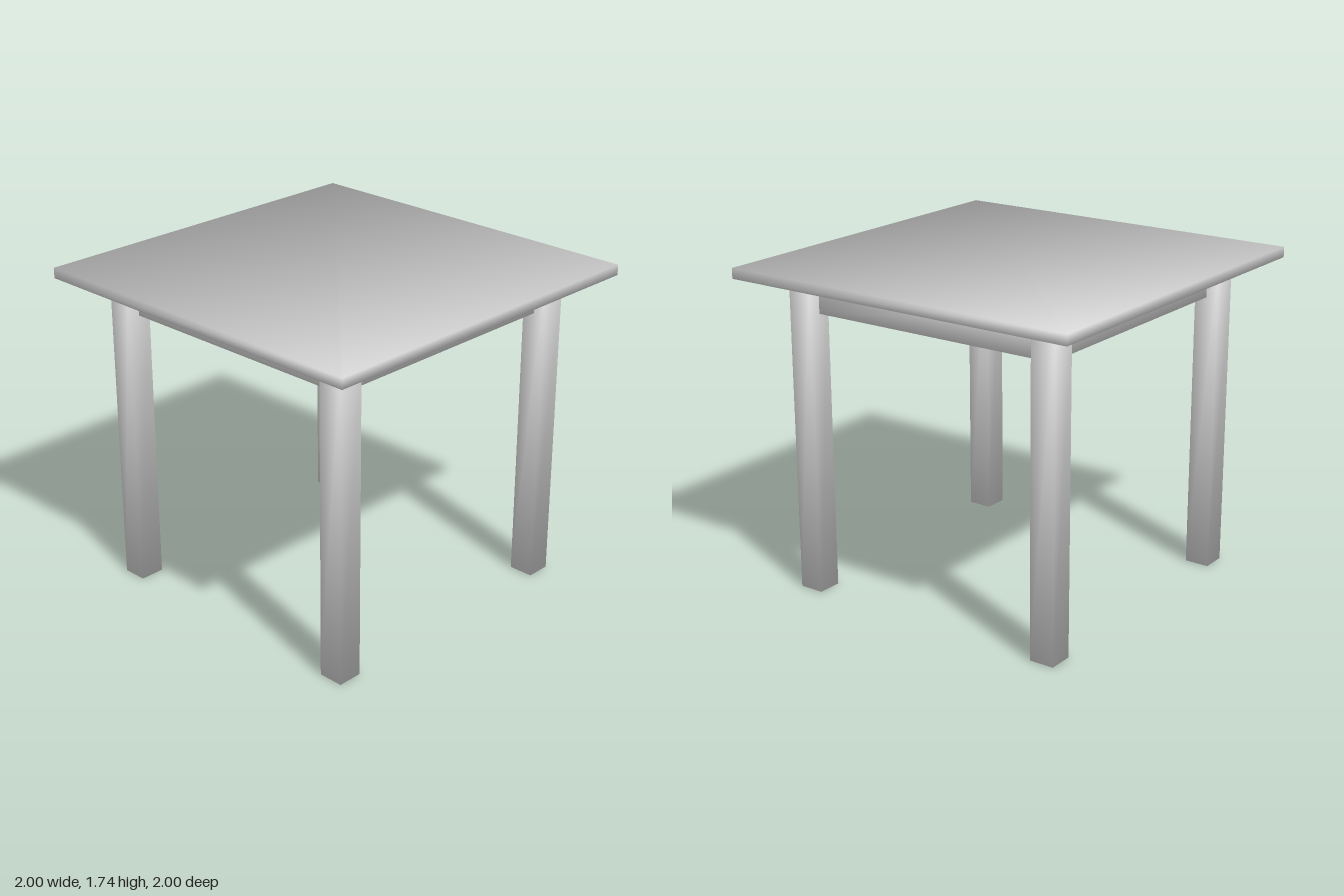
import * as THREE from 'three';
import { mergeVertices } from 'three/addons/utils/BufferGeometryUtils.js';

const material = new THREE.MeshStandardMaterial({ color: 0xcccccc });

// Box standing on y0, with welded corners whose normals point diagonally outward (soft shading)
function softBox(name, width, y0, y1, x = 0, z = 0) {
  let geometry = new THREE.BoxGeometry(width, y1 - y0, width);
  geometry.deleteAttribute('uv');
  geometry.deleteAttribute('normal');
  geometry = mergeVertices(geometry);
  const corner = geometry.attributes.position;
  const normal = corner.clone();
  const v = new THREE.Vector3();
  for (let i = 0; i < corner.count; i++) {
    v.fromBufferAttribute(corner, i);
    v.set(Math.sign(v.x), Math.sign(v.y), Math.sign(v.z)).normalize();
    normal.setXYZ(i, v.x, v.y, v.z);
  }
  geometry.setAttribute('normal', normal);
  const mesh = new THREE.Mesh(geometry, material);
  mesh.name = name;
  mesh.position.set(x, (y0 + y1) / 2, z);
  return mesh;
}

export function createModel() {
  const table = new THREE.Group();
  table.name = 'table';

  const underside = 1.68;
  const legCentre = 0.737;

  // Thin square top
  table.add(softBox('tableTop', 2, underside, 1.735));

  // Solid apron block, its corners ending inside the legs
  table.add(softBox('apron', legCentre * 2, 1.495, underside));

  // Four square legs
  for (const [side, x] of [['Left', 1], ['Right', -1]]) {
    for (const [end, z] of [['front', 1], ['back', -1]]) {
      table.add(softBox(`${end}${side}Leg`, 0.134, 0, underside, x * legCentre, z * legCentre));
    }
  }
  return table;
}
